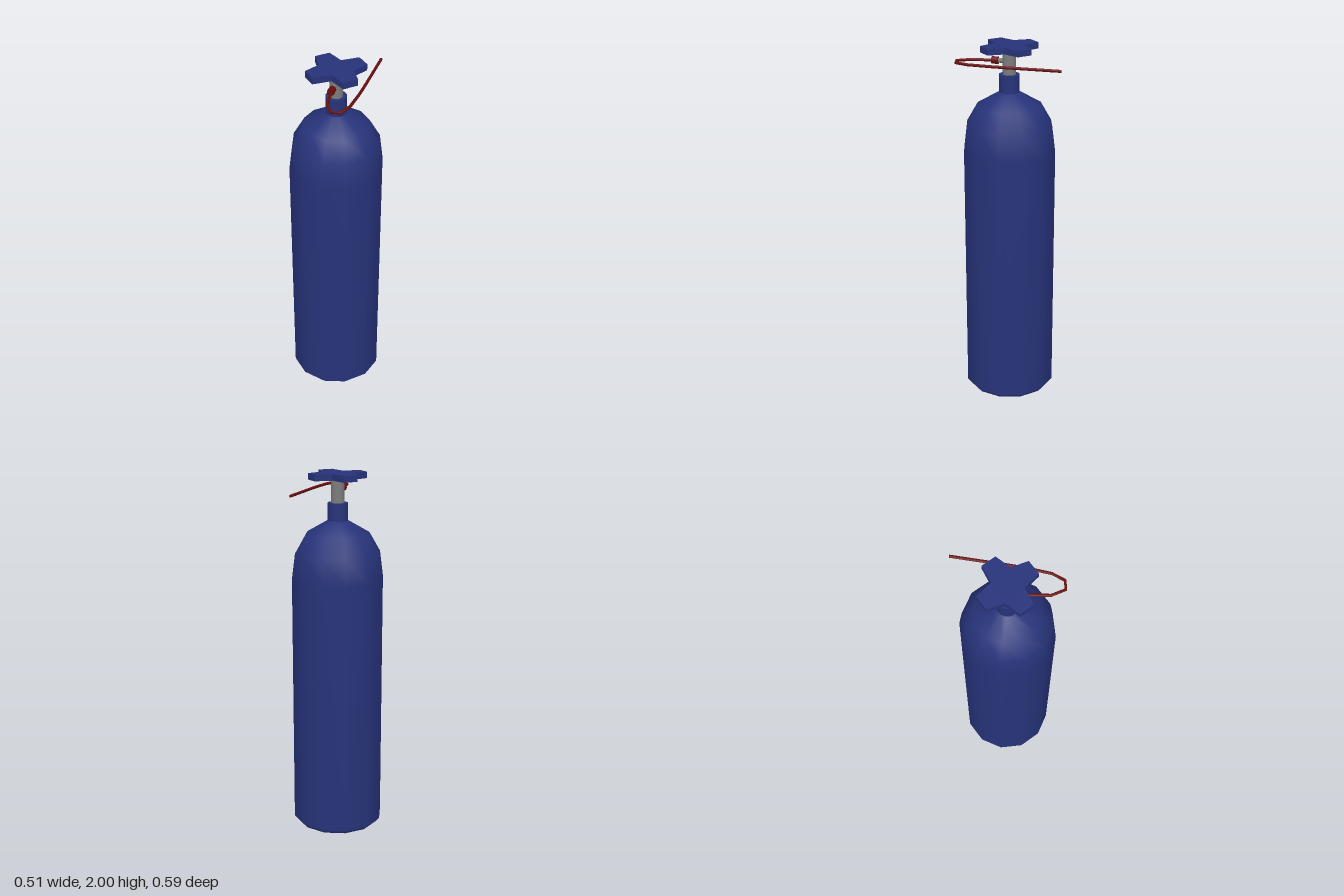
import * as THREE from 'three';

const CENTER_Z = 0.015; // the bottle axis sits slightly forward
const SIDES = 12;

// Path of straight segments, sampled exactly at its corners
class Polyline extends THREE.Curve {
  constructor(points) {
    super();
    this.points = points;
  }
  getUtoTmapping(u) {
    return u;
  }
  getPoint(t, target = new THREE.Vector3()) {
    const s = t * (this.points.length - 1);
    const i = Math.min(Math.floor(s), this.points.length - 2);
    return target.lerpVectors(this.points[i], this.points[i + 1], s - i);
  }
}

export function createModel() {
  const blue = new THREE.MeshStandardMaterial({ name: 'navy blue', color: 0x27337a });
  const grey = new THREE.MeshStandardMaterial({ name: 'metal grey', color: 0x7c7c7c });
  const red = new THREE.MeshStandardMaterial({ name: 'dark red', color: 0x6a0e0e });

  const model = new THREE.Group();
  model.name = 'gasBottle';
  const add = (name, geometry, material, x, y, z) => {
    const mesh = new THREE.Mesh(geometry, material);
    mesh.name = name;
    mesh.position.set(x, y, z);
    model.add(mesh);
    return mesh;
  };

  // Bottle shell with rounded shoulder
  const profile = [
    [0.228, 0], [0.253, 0.028], [0.253, 1.43], [0.235, 1.57],
    [0.175, 1.675], [0.055, 1.745],
  ].map(([r, y]) => new THREE.Vector2(r, y));
  add('bottle', new THREE.LatheGeometry(profile, SIDES), blue, 0, 0, CENTER_Z);

  // Flat underside
  const base = add('base', new THREE.CircleGeometry(0.228, SIDES), blue, 0, 0, CENTER_Z);
  base.rotation.x = Math.PI / 2;

  // Neck collar and valve stem
  add('neck', new THREE.CylinderGeometry(0.056, 0.056, 0.11, SIDES), blue, 0, 1.785, CENTER_Z);
  add('valveStem', new THREE.CylinderGeometry(0.036, 0.036, 0.15, SIDES), grey, 0, 1.9, CENTER_Z);

  // Four-lobed hand wheel
  const wheel = new THREE.Shape([
    [0.093, 0], [0.138, 0.08], [0.08, 0.137], [0, 0.08],
    [-0.08, 0.137], [-0.138, 0.08], [-0.093, 0], [-0.138, -0.08],
    [-0.08, -0.137], [0, -0.08], [0.08, -0.137], [0.138, -0.08],
  ].map(([x, y]) => new THREE.Vector2(x, y)));
  const wheelGeometry = new THREE.ExtrudeGeometry(wheel, { depth: 0.034, bevelEnabled: false });
  wheelGeometry.rotateX(-Math.PI / 2);
  add('handWheel', wheelGeometry, blue, 0, 1.966, CENTER_Z);

  // Outlet with hose fitting
  const outlet = add('outlet', new THREE.CylinderGeometry(0.013, 0.013, 0.04, 8), grey, 0, 1.91, 0.06);
  outlet.rotation.x = Math.PI / 2;
  const fitting = add('hoseFitting', new THREE.CylinderGeometry(0.02, 0.02, 0.036, 8), red, 0, 1.91, 0.092);
  fitting.rotation.x = Math.PI / 2;

  // Hose looping forward and then back along the left side
  const path = [
    [0, 0.09], [0.018, 0.222], [0.058, 0.287], [0.105, 0.277],
    [0.131, 0.21], [0.141, 0.09], [0.144, 0], [0.148, -0.293],
  ].map(([x, z]) => new THREE.Vector3(x, 0, z));
  add('hose', new THREE.TubeGeometry(new Polyline(path), path.length - 1, 0.008, 8), red, 0, 1.91, 0);
  const hoseEnd = add('hoseEnd', new THREE.CircleGeometry(0.008, 8), red, 0.148, 1.91, -0.293);
  hoseEnd.rotation.y = Math.PI;

  return model;
}
